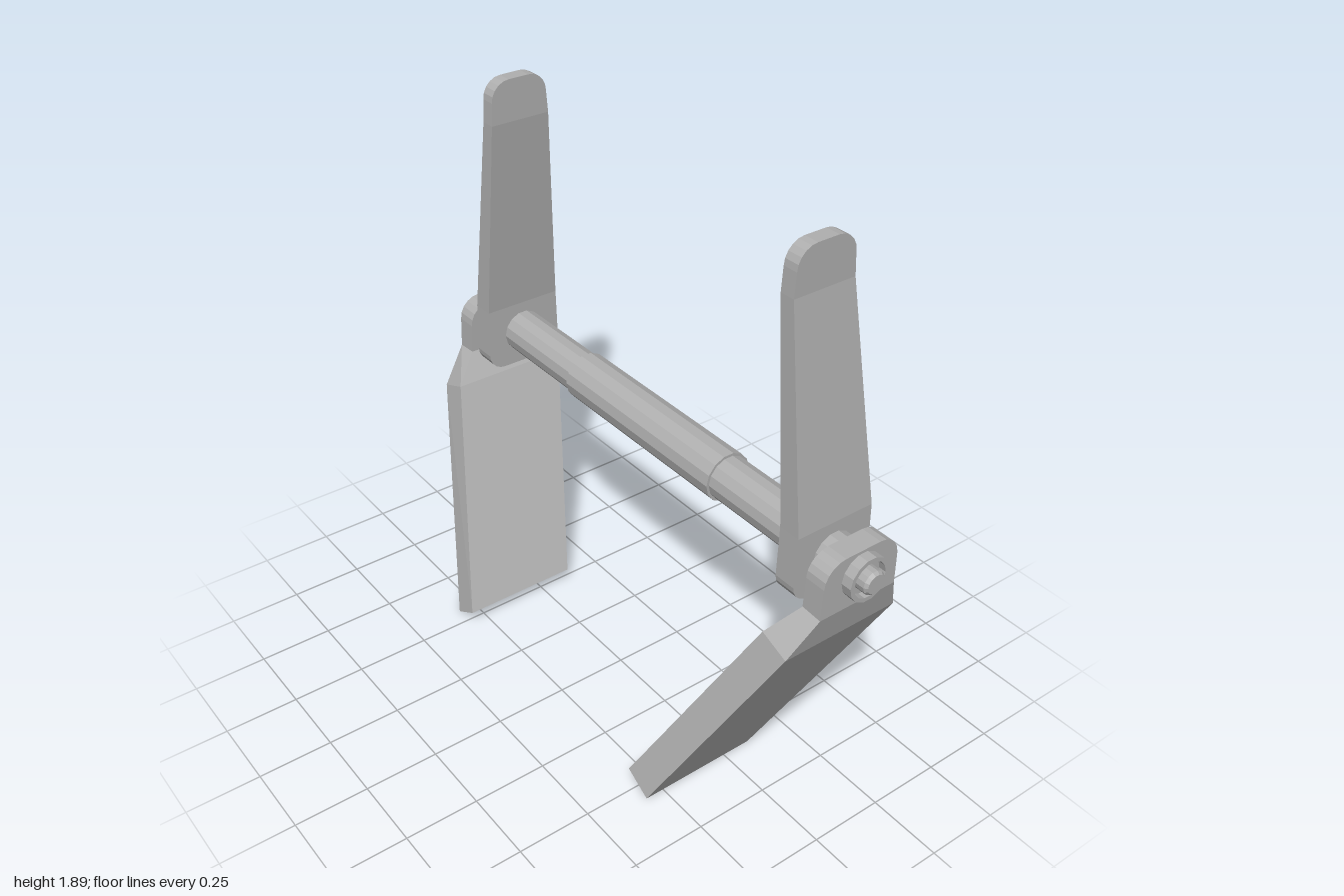
import * as THREE from 'three';

const AXLE_Y = 0.94, AXLE_Z = -0.13;

// Lofts four-cornered sections, listed bottom to top.
// Section: [outer x, outer y, inner x, inner y, front z, back z]
function loft(sections, side) {
  const rings = sections.map(([xo, yo, xi, yi, zf, zb]) => [
    [xo * side, yo, zf], [xo * side, yo, zb], [xi * side, yi, zb], [xi * side, yi, zf],
  ]);
  const pos = [];
  const quad = (a, b, c, d) => {
    const q = side > 0 ? [a, b, c, a, c, d] : [a, c, b, a, d, c];
    q.forEach((p) => pos.push(...p));
  };
  for (let i = 0; i < rings.length - 1; i++) {
    const lo = rings[i], hi = rings[i + 1];
    for (let j = 0; j < 4; j++) {
      const k = (j + 1) % 4;
      quad(lo[j], lo[k], hi[k], hi[j]);
    }
  }
  const [a, b, c, d] = rings[0];
  quad(d, c, b, a);
  quad(...rings[rings.length - 1]);
  const geo = new THREE.BufferGeometry();
  geo.setAttribute('position', new THREE.Float32BufferAttribute(pos, 3));
  geo.computeVertexNormals();
  return geo;
}

// Sections that round the corners of a plate end; dir is +1 for a top, -1 for a bottom
function roundedEnd(xo, xi, yEnd, zf, zb, r, dir) {
  const out = [];
  for (let i = 0; i <= 5; i++) {
    const t = (i / 5) * Math.PI / 2;
    const y = yEnd - dir * r * (1 - Math.sin(t));
    const inset = r * (1 - Math.cos(t));
    out.push([xo, y, xi, y, zf - inset, zb + inset]);
  }
  return dir > 0 ? out : out.reverse();
}

// Faceted turned part lying along x; profile is [radius, x] with x increasing
function turned(profile, sides = 14) {
  const pts = profile.map(([r, x]) => new THREE.Vector2(r, x));
  const geo = new THREE.LatheGeometry(pts, sides).toNonIndexed();
  geo.rotateZ(-Math.PI / 2);
  geo.translate(0, AXLE_Y, AXLE_Z);
  geo.computeVertexNormals();
  return geo;
}

export function createModel() {
  const model = new THREE.Group();
  model.name = 'pivotFrame';
  const grey = new THREE.MeshStandardMaterial({ color: 0xb0b0b0 });
  grey.name = 'grey metal';
  const add = (name, geo) => {
    const mesh = new THREE.Mesh(geo, grey);
    mesh.name = name;
    model.add(mesh);
  };

  // Axle with hollow rims and end pins
  const half = [[0.074, 0], [0.074, 0.975], [0.06, 0.975], [0.06, 0.95],
    [0.04, 0.95], [0.04, 0.99], [0.032, 1], [0, 1]];
  const mirrored = half.slice(1).reverse().map(([r, x]) => [r, -x]);
  add('axle', turned([...mirrored, ...half]));

  // Thicker central sleeve
  add('sleeve', turned([[0, -0.367], [0.083, -0.367], [0.083, 0.367], [0, 0.367]]));

  for (const side of [1, -1]) {
    const prefix = side > 0 ? 'left' : 'right';

    // Upright arm: vertical foot, inward lean, vertical rounded tip
    add(prefix + 'UpperArm', loft([
      ...roundedEnd(0.825, 0.75, 0.82, 0.012, -0.275, 0.06, -1),
      [0.825, 1.05, 0.75, 1.05, 0.008, -0.27],
      [0.73, 1.75, 0.68, 1.75, 0, -0.214],
      ...roundedEnd(0.73, 0.68, 1.89, -0.004, -0.208, 0.065, 1),
    ], side));

    // Lower leg: slanted blade, flared shoulder, rounded pivot tab
    add(prefix + 'LowerLeg', loft([
      [0.56, 0, 0.467, 0.055, 0.315, -0.1],
      [0.91, 0.72, 0.81, 0.76, 0.105, -0.315],
      [0.94, 0.84, 0.868, 0.845, 0.014, -0.272],
      ...roundedEnd(0.94, 0.868, 1.022, 0.01, -0.27, 0.075, 1),
    ], side));
  }
  return model;
}
